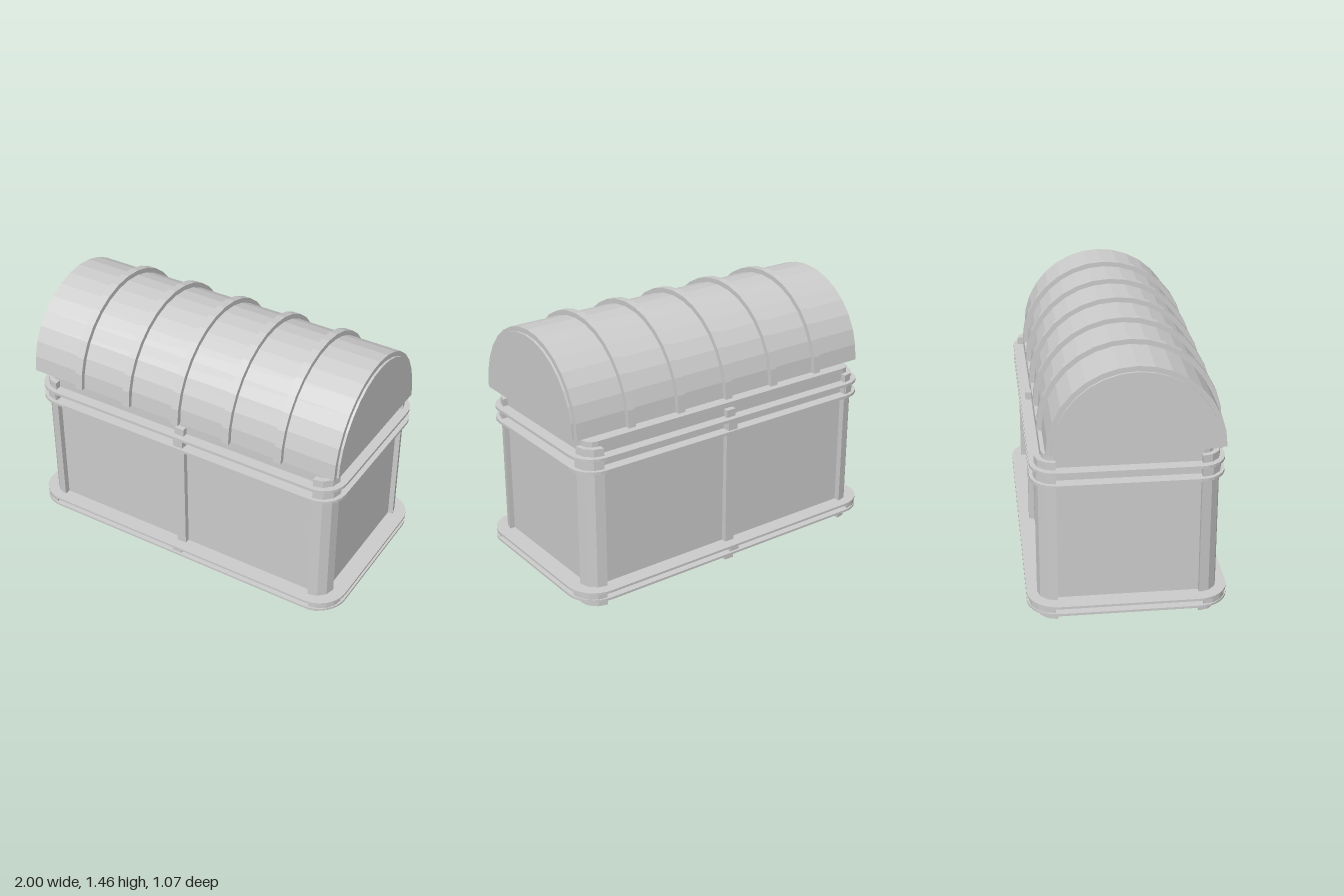
import * as THREE from 'three';

const material = new THREE.MeshStandardMaterial({ color: 0xcccccc, flatShading: true });
const LID_Z = 0.033, LID_Y = 0.977;

function add(group, name, geometry) {
  const mesh = new THREE.Mesh(geometry, material);
  mesh.name = name;
  group.add(mesh);
  return mesh;
}

function box(group, name, x0, x1, y0, y1, z0, z1) {
  add(group, name, new THREE.BoxGeometry(x1 - x0, y1 - y0, z1 - z0))
    .position.set((x0 + x1) / 2, (y0 + y1) / 2, (z0 + z1) / 2);
}

// Points on an arc
function arc(cx, cy, r, a0, a1, n) {
  return Array.from({ length: n + 1 }, (_, i) => {
    const a = a0 + (a1 - a0) * i / n;
    return new THREE.Vector2(cx + r * Math.cos(a), cy + r * Math.sin(a));
  });
}

// Upright prism from a plan outline (outline y points to the back)
function prism(points, y0, y1) {
  return new THREE.ExtrudeGeometry(new THREE.Shape(points), { depth: y1 - y0, bevelEnabled: false })
    .rotateX(-Math.PI / 2).translate(0, y0, 0);
}

// Plate with rounded corners
function slab(hx, hz, r, segments, y0, y1) {
  const q = Math.PI / 2, x = hx - r, z = hz - r;
  const centres = [[x, z], [-x, z], [-x, -z], [x, -z]];
  return prism(centres.flatMap(([cx, cz], i) => arc(cx, cz, r, i * q, (i + 1) * q, segments)), y0, y1);
}

// Four rounded corner pieces
function corners(group, name, hx, hz, r, segments, y0, y1) {
  for (const sx of [1, -1]) for (const sz of [1, -1]) {
    const outline = [new THREE.Vector2(hx - r, hz - r), ...arc(hx - r, hz - r, r, 0, Math.PI / 2, segments)]
      .map(p => new THREE.Vector2(p.x * sx, p.y * sz));
    add(group, name, prism(outline, y0, y1));
  }
}

// Half-round section running along x; inner > 0 makes an arched strip
function arch(outer, inner, x0, x1, y0 = LID_Y) {
  const points = arc(0, 0, outer, 0, Math.PI, 16);
  if (inner > 0) points.push(...arc(0, 0, inner, Math.PI, 0, 16));
  return new THREE.ExtrudeGeometry(new THREE.Shape(points), { depth: x1 - x0, bevelEnabled: false })
    .rotateY(Math.PI / 2).translate(x0, y0, LID_Z);
}

export function createModel() {
  const model = new THREE.Group();
  model.name = 'chest';

  // Body: recessed panels, whose top forms the lip, and corner posts
  const body = new THREE.Group();
  body.name = 'body';
  add(body, 'bodyPanels', slab(0.9, 0.445, 0.06, 3, 0.002, 0.952));
  corners(body, 'cornerPost', 0.93, 0.48, 0.105, 3, 0, 0.922);
  model.add(body);

  // Upper pair of flanges
  const rim = new THREE.Group();
  rim.name = 'upperRim';
  for (const y of [0.792, 0.864]) add(rim, 'rimFlange', slab(0.965, 0.505, 0.14, 6, y, y + 0.016));
  corners(rim, 'rimCorner', 0.94, 0.487, 0.11, 3, 0.808, 0.864);
  model.add(rim);

  // Base pair of flanges with a recessed core and raised corners
  const base = new THREE.Group();
  base.name = 'base';
  for (const y of [0.062, 0.104]) add(base, 'baseFlange', slab(1, 0.535, 0.17, 8, y, y + 0.013));
  add(base, 'baseCore', slab(0.955, 0.49, 0.12, 6, 0.075, 0.104));
  corners(base, 'baseCorner', 0.985, 0.522, 0.13, 4, 0.075, 0.104);
  model.add(base);

  // Centre strips and clasps, front and back
  for (const s of [1, -1]) {
    const strip = new THREE.Group();
    strip.name = s > 0 ? 'frontStrip' : 'backStrip';
    const piece = (name, y0, y1, z) =>
      box(strip, name, -0.029, 0.029, y0, y1, Math.min(0.43 * s, z * s), Math.max(0.43 * s, z * s));
    piece('centreStrip', 0, 0.922, 0.475);
    piece('rimClasp', 0.808, 0.864, 0.492);
    piece('baseClasp', 0.075, 0.104, 0.522);
    model.add(strip);
  }

  // Barrel lid with raised end panels, arched bands and underside plate
  const lid = new THREE.Group();
  lid.name = 'lid';
  add(lid, 'lidBarrel', arch(0.46, 0, -0.95, 0.95));
  for (const s of [1, -1]) {
    const xs = s > 0 ? [0.945, 0.963] : [-0.963, -0.945];
    add(lid, 'lidEndPanel', arch(0.433, 0, ...xs));
  }
  for (let i = -2; i <= 2; i++) {
    const x = i * 0.316;
    add(lid, 'lidBand', arch(0.487, 0.45, x - 0.022, x + 0.022));
  }
  box(lid, 'lidUnderside', -0.93, 0.93, 0.97, 0.98, LID_Z - 0.43, LID_Z + 0.43);
  model.add(lid);

  return model;
}
